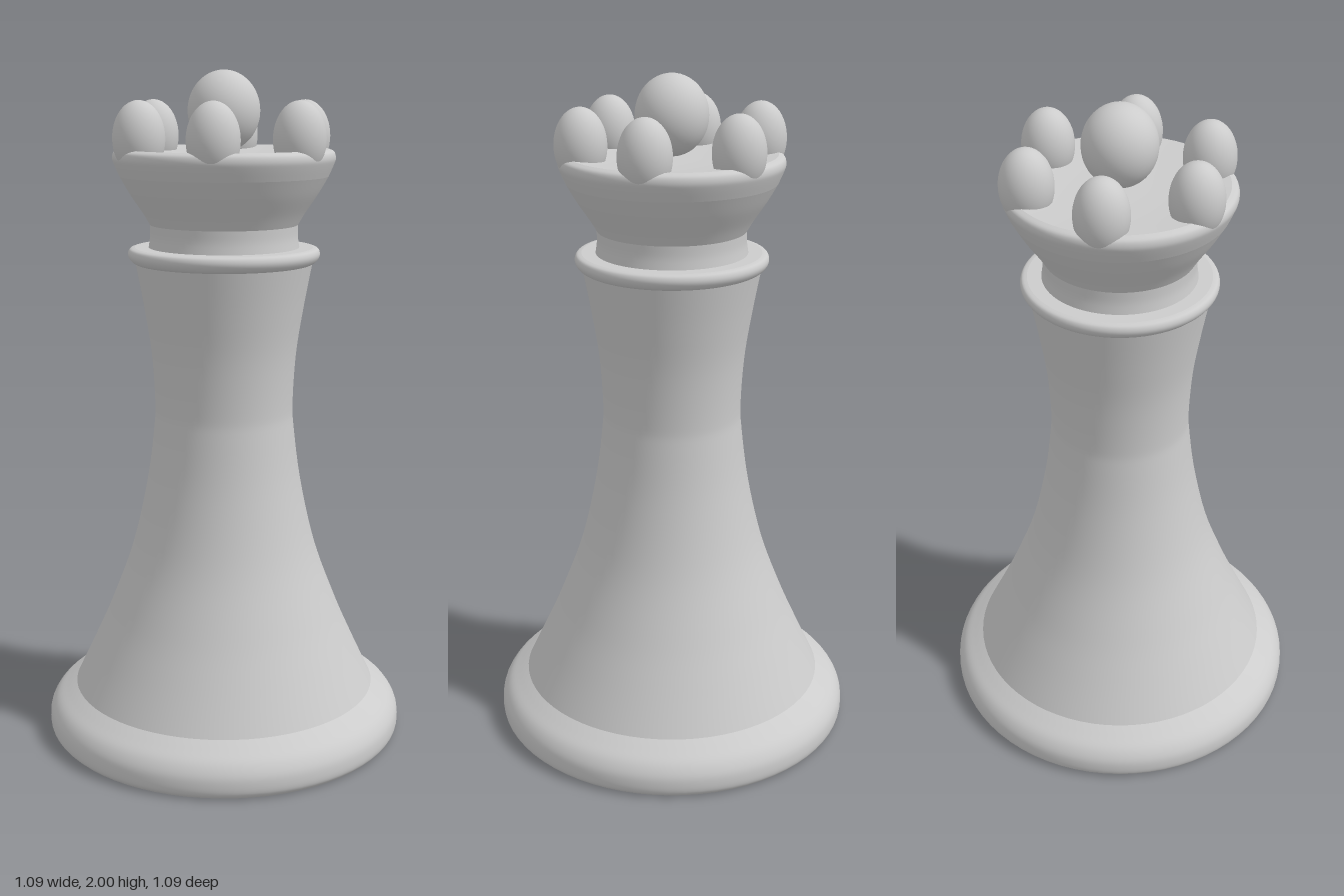
import * as THREE from 'three';

const material = new THREE.MeshStandardMaterial({ color: 0xcccccc, side: THREE.DoubleSide });

// Revolve a profile of [radius, height] pairs, optionally smoothed by a spline.
function turned(name, profile, samples = 0) {
  let points = profile.map(([r, y]) => new THREE.Vector2(r, y));
  if (samples) points = new THREE.SplineCurve(points).getPoints(samples);
  const mesh = new THREE.Mesh(new THREE.LatheGeometry(points, 72), material);
  mesh.name = name;
  return mesh;
}

// Egg-shaped ball of the given radius and half height.
function ball(name, x, y, z, radius, halfHeight) {
  const mesh = new THREE.Mesh(new THREE.SphereGeometry(radius, 36, 24), material);
  mesh.name = name;
  mesh.scale.y = halfHeight / radius;
  mesh.position.set(x, y, z);
  return mesh;
}

export function createModel() {
  const model = new THREE.Group();
  model.name = 'chessQueen';

  // Foot
  model.add(turned('baseUnderside', [[0, 0], [0.53, 0]]));
  model.add(turned('baseRim', [
    [0.53, 0], [0.543, 0.015], [0.546, 0.04], [0.541, 0.07], [0.522, 0.1], [0.49, 0.125], [0.462, 0.145],
  ], 24));

  // Waisted shaft
  model.add(turned('shaft', [
    [0.462, 0.145], [0.403, 0.27], [0.346, 0.4], [0.28, 0.58], [0.234, 0.78],
    [0.211, 0.95], [0.207, 1.03], [0.216, 1.18], [0.237, 1.32], [0.262, 1.455],
  ], 48));

  // Collar
  model.add(turned('collar', [
    [0.255, 1.445], [0.27, 1.452], [0.28, 1.465], [0.282, 1.478], [0.276, 1.49], [0.262, 1.494],
  ], 16));
  model.add(turned('collarTop', [[0.262, 1.494], [0.2, 1.494]]));

  // Crown: neck, flared cup, rounded rim and shallow dished top
  model.add(turned('crownNeck', [[0.222, 1.49], [0.217, 1.525], [0.217, 1.56]], 8));
  model.add(turned('crownCup', [[0.217, 1.56], [0.238, 1.595], [0.275, 1.65], [0.304, 1.7]], 16));
  model.add(turned('crownRim', [
    [0.304, 1.7], [0.318, 1.732], [0.324, 1.752], [0.319, 1.77], [0.302, 1.778],
  ], 16));
  model.add(turned('crownTop', [[0.302, 1.778], [0.2, 1.768], [0.1, 1.763], [0, 1.762]], 12));

  // Six points around a central finial
  for (let i = 0; i < 6; i++) {
    const a = (i * Math.PI) / 3;
    model.add(ball('crownPoint' + (i + 1), 0.262 * Math.cos(a), 1.81, 0.262 * Math.sin(a), 0.075, 0.106));
  }
  model.add(ball('centralFinial', 0, 1.885, 0, 0.105, 0.115));
  return model;
}
